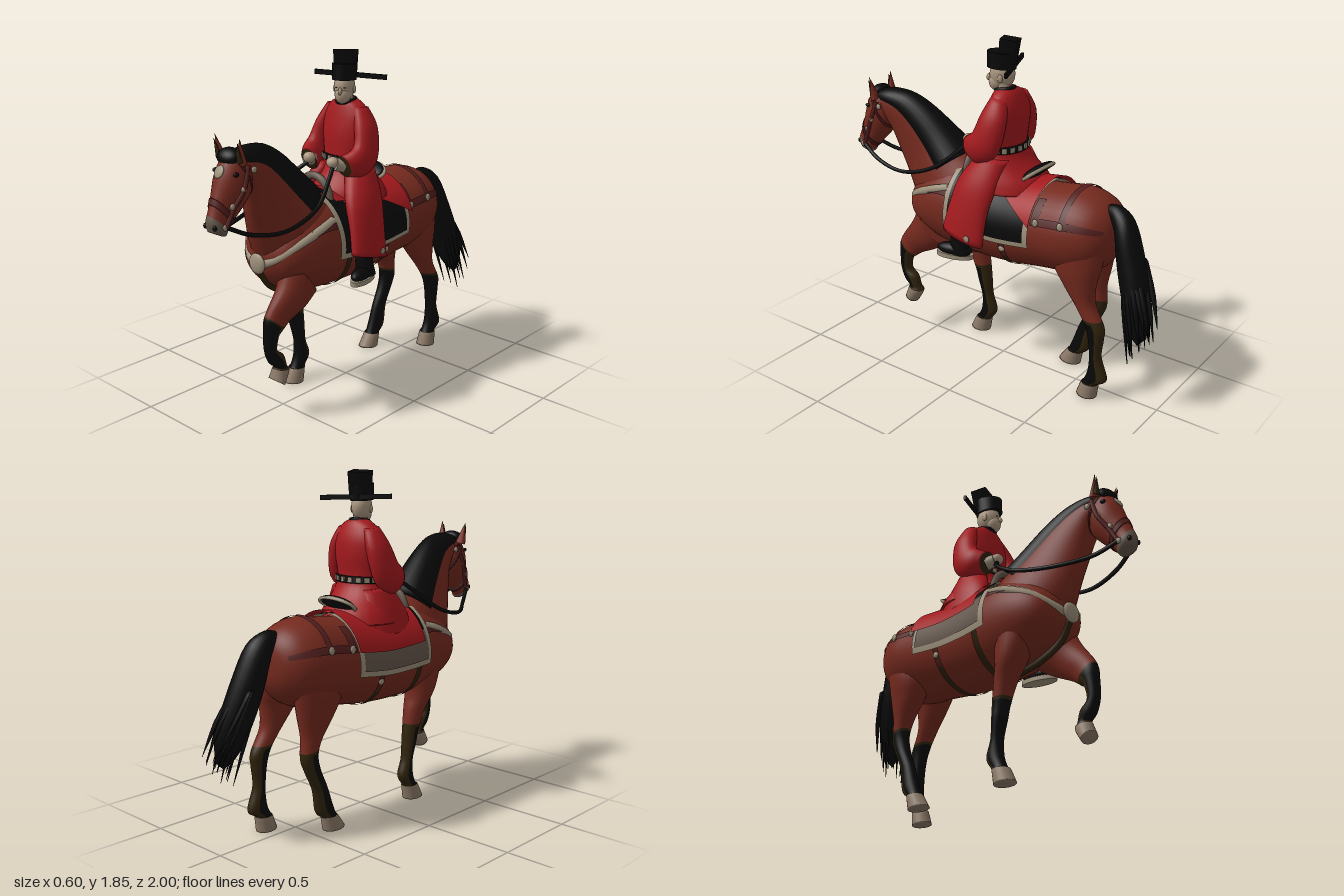
import * as THREE from 'three';

const mat = (name, color, side = THREE.FrontSide) => Object.assign(new THREE.MeshStandardMaterial({ color, side }), { name });
const M = {
  coat: mat('horse coat brown', 0x752a1e), red: mat('robe red', 0xa3191d, THREE.DoubleSide),
  black: mat('black', 0x080808, THREE.DoubleSide), olive: mat('dark olive', 0x30230c, THREE.DoubleSide),
  beige: mat('trim beige', 0x9c8f7a, THREE.DoubleSide), strap: mat('leather maroon', 0x531f1e, THREE.DoubleSide),
  hoof: mat('hoof tan', 0x8a7866), skin: mat('skin', 0xab9780), taupe: mat('taupe', 0x63564a, THREE.DoubleSide),
};
const V = (x, y, z) => new THREE.Vector3(x, y, z);
const rad = THREE.MathUtils.degToRad;

// Smooth interpolation between rows; a row is [x, yTop, zTop, yBottom, zBottom, halfWidth]
function sample(rows, t) {
  const n = rows.length - 1, i = Math.min(Math.floor(t), n - 1), f = t - i;
  const [a, b, c, d] = [rows[Math.max(i - 1, 0)], rows[i], rows[i + 1], rows[Math.min(i + 2, n)]];
  return b.map((v, k) => v + 0.5 * f * (c[k] - a[k] + f * (2 * a[k] - 5 * v + 4 * c[k] - d[k] + f * (3 * (v - c[k]) + d[k] - a[k]))));
}
const ringPoint = ([x, y1, z1, y2, z2, w], a, off = 0) => {
  const k = Math.hypot(y1 - y2, z1 - z2) / 2 || 1e-3, s = Math.sin(a) * (k + off) / k;
  return V(x + Math.cos(a) * (w + off), (y1 + y2) / 2 + s * (y1 - y2) / 2, (z1 + z2) / 2 + s * (z1 - z2) / 2);
};

// Closed skin over elliptical rows; pick(row, sine) chooses among several materials
function loft(name, rows, mats, { pick = () => 0, sides = 24, steps = 4 } = {}) {
  const list = [].concat(mats), idx = list.map(() => []), pos = [], last = (rows.length - 1) * steps;
  for (let i = 0; i <= last; i++) {
    const r = sample(rows, i / steps);
    for (let j = 0; j < sides; j++) pos.push(...ringPoint(r, j / sides * Math.PI * 2).toArray());
  }
  for (const r of [rows[0], rows.at(-1)]) pos.push(r[0], (r[1] + r[3]) / 2, (r[2] + r[4]) / 2);
  const c0 = (last + 1) * sides;
  for (let j = 0; j < sides; j++) {
    const k = (j + 1) % sides;
    for (let i = 0; i < last; i++) {
      const a = i * sides + j, b = i * sides + k;
      idx[pick((i + 0.5) / steps, Math.sin((j + 0.5) / sides * Math.PI * 2))].push(a, b, a + sides, b, b + sides, a + sides);
    }
    idx[pick(0, 0)].push(c0, k, j);
    idx[pick(rows.length - 1, 0)].push(c0 + 1, last * sides + j, last * sides + k);
  }
  // Turn the faces outward whichever way the rows run
  const p = i => V(pos[3 * i], pos[3 * i + 1], pos[3 * i + 2]);
  let vol = 0;
  for (const l of idx) for (let i = 0; i < l.length; i += 3) vol += p(l[i]).dot(p(l[i + 1]).cross(p(l[i + 2])));
  if (vol < 0) for (const l of idx) l.reverse();
  const g = new THREE.BufferGeometry();
  g.setAttribute('position', new THREE.Float32BufferAttribute(pos, 3));
  g.setIndex(idx.flat());
  let start = 0;
  idx.forEach((l, m) => { g.addGroup(start, l.length, m); start += l.length; });
  g.computeVertexNormals();
  const mesh = new THREE.Mesh(g, list.length > 1 ? list : list[0]);
  mesh.name = name;
  return mesh;
}
function part(name, geo, m, p, scale = [1, 1, 1], rot = [0, 0, 0]) {
  const mesh = new THREE.Mesh(geo, m);
  mesh.name = name; mesh.position.set(...p); mesh.scale.set(...scale); mesh.rotation.set(...rot);
  return mesh;
}
const ball = (name, m, p, scale, rot) => part(name, new THREE.SphereGeometry(1, 20, 14), m, p, scale, rot);
const tube = (name, m, pts, r) => part(name, new THREE.TubeGeometry(new THREE.CatmullRomCurve3(pts), 48, r, 8), m, [0, 0, 0]);
const band = (name, rows, t0, t1, off, m) => loft(name, [t0, t1].map(t => {
  const r = sample(rows, t), u = ringPoint(r, Math.PI / 2, off), d = ringPoint(r, -Math.PI / 2, off);
  return [r[0], u.y, u.z, d.y, d.z, r[5] + off];
}), m);

// Horse barrel: [z, top, bottom, halfWidth]
const CX = -0.04;
const body = [[-0.705, 0.96, 0.86, 0.04], [-0.685, 1.03, 0.79, 0.12], [-0.62, 1.095, 0.71, 0.195], [-0.5, 1.13, 0.66, 0.235],
  [-0.35, 1.115, 0.645, 0.236], [-0.1, 1.09, 0.61, 0.232], [0.1, 1.1, 0.6, 0.232], [0.3, 1.12, 0.61, 0.235],
  [0.45, 1.07, 0.65, 0.215], [0.55, 1.0, 0.7, 0.17], [0.6, 0.93, 0.76, 0.1], [0.615, 0.88, 0.8, 0.04]].map(([z, t, b, w]) => [CX, t, z, b, z, w]);
function onBody(z, deg, off) {
  let lo = 0, hi = body.length - 1;
  for (let i = 0; i < 24; i++) { const m = (lo + hi) / 2; sample(body, m)[2] < z ? lo = m : hi = m; }
  return ringPoint(sample(body, lo), rad(deg), off);
}
// Thin sheet on the barrel from z1 to z0, angles a0 to a1; the a0 edge may slant to a0End at z1
function patch(name, m, z0, z1, a0, a1, off, a0End = a0) {
  const g = new THREE.PlaneGeometry(1, 1, 40, 12), p = g.attributes.position;
  for (let i = 0; i < p.count; i++) {
    const v = p.getY(i) + 0.5, from = a0 + (a0End - a0) * v;
    const q = onBody(z0 + (z1 - z0) * v, from + (a1 - from) * (p.getX(i) + 0.5), off);
    p.setXYZ(i, q.x, q.y, q.z);
  }
  g.computeVertexNormals();
  return part(name, g, m, [0, 0, 0]);
}

const neck = [[-0.04, 1.08, 0.12, 0.78, 0.57, 0.19], [-0.035, 1.17, 0.25, 0.9, 0.63, 0.16], [-0.02, 1.275, 0.37, 1.0, 0.67, 0.125],
  [0, 1.38, 0.5, 1.1, 0.705, 0.1], [0.02, 1.445, 0.62, 1.2, 0.735, 0.083], [0.035, 1.46, 0.74, 1.28, 0.765, 0.075], [0.04, 1.445, 0.82, 1.33, 0.8, 0.06]];
const head = [[0.04, 1.46, 0.79, 1.33, 0.74, 0.055], [0.04, 1.455, 0.855, 1.25, 0.745, 0.083], [0.04, 1.38, 0.91, 1.19, 0.79, 0.085],
  [0.042, 1.29, 0.945, 1.14, 0.84, 0.066], [0.045, 1.21, 0.975, 1.1, 0.88, 0.052], [0.048, 1.15, 0.997, 1.065, 0.905, 0.052], [0.05, 1.1, 0.99, 1.07, 0.93, 0.035]];

// Legs: [x, yFront, zFront, yBack, zBack, halfWidth]; the last three rows make the hoof
const legs = {
  leftForeleg: [2.6, [[0.06, 0.84, 0.53, 0.62, 0.34, 0.1], [0.08, 0.72, 0.58, 0.57, 0.43, 0.075], [0.08, 0.62, 0.655, 0.52, 0.53, 0.05],
    [0.08, 0.565, 0.685, 0.48, 0.585, 0.045], [0.08, 0.5, 0.69, 0.46, 0.61, 0.04], [0.08, 0.4, 0.69, 0.39, 0.62, 0.034],
    [0.08, 0.325, 0.665, 0.35, 0.575, 0.038], [0.08, 0.295, 0.63, 0.285, 0.555, 0.036], [0.08, 0.275, 0.635, 0.255, 0.54, 0.043], [0.08, 0.23, 0.65, 0.182, 0.585, 0.052]]],
  rightForeleg: [2.65, [[-0.14, 0.85, 0.5, 0.8, 0.22, 0.1], [-0.15, 0.66, 0.43, 0.62, 0.24, 0.085], [-0.15, 0.52, 0.345, 0.52, 0.22, 0.06],
    [-0.15, 0.41, 0.3, 0.41, 0.205, 0.047], [-0.15, 0.34, 0.28, 0.34, 0.2, 0.044], [-0.15, 0.24, 0.255, 0.24, 0.19, 0.036],
    [-0.15, 0.15, 0.26, 0.15, 0.16, 0.04], [-0.15, 0.09, 0.285, 0.09, 0.195, 0.038], [-0.15, 0.08, 0.3, 0.075, 0.2, 0.045], [-0.15, 0.01, 0.335, 0, 0.215, 0.054]]],
  leftHindLeg: [3.6, [[0.06, 0.92, -0.36, 0.92, -0.68, 0.1], [0.07, 0.75, -0.38, 0.75, -0.665, 0.095], [0.08, 0.63, -0.46, 0.66, -0.645, 0.075],
    [0.085, 0.53, -0.54, 0.55, -0.645, 0.055], [0.09, 0.45, -0.59, 0.43, -0.71, 0.045], [0.09, 0.37, -0.62, 0.36, -0.71, 0.04],
    [0.09, 0.25, -0.635, 0.25, -0.7, 0.036], [0.09, 0.15, -0.625, 0.13, -0.74, 0.04], [0.09, 0.09, -0.6, 0.09, -0.69, 0.038],
    [0.09, 0.08, -0.59, 0.075, -0.69, 0.045], [0.09, 0.01, -0.565, 0, -0.68, 0.052]]],
  rightHindLeg: [3.6, [[-0.14, 0.92, -0.34, 0.92, -0.66, 0.1], [-0.15, 0.75, -0.32, 0.75, -0.62, 0.095], [-0.15, 0.63, -0.38, 0.64, -0.6, 0.075],
    [-0.15, 0.53, -0.455, 0.53, -0.58, 0.055], [-0.15, 0.45, -0.485, 0.42, -0.585, 0.045], [-0.15, 0.36, -0.47, 0.35, -0.56, 0.04],
    [-0.15, 0.25, -0.42, 0.24, -0.51, 0.036], [-0.15, 0.15, -0.385, 0.12, -0.49, 0.04], [-0.15, 0.09, -0.36, 0.08, -0.45, 0.038],
    [-0.15, 0.08, -0.35, 0.075, -0.445, 0.045], [-0.15, 0.01, -0.3, 0, -0.43, 0.052]]],
};

function makeHorse() {
  const g = new THREE.Group(); g.name = 'horse';
  g.add(loft('barrel', body, M.coat, { sides: 36 }), loft('neck', neck, M.coat, { sides: 32 }));
  g.add(loft('head', head, [M.coat, M.taupe], { pick: t => t > 4.5 ? 1 : 0 }));
  for (const [name, [sock, rows]] of Object.entries(legs)) {
    const top = rows.length - 2.2;
    // Brown above, black sock with olive upper edge, back and pastern, tan hoof
    const pick = (t, s) => t > top ? 3 : t < sock ? 0 : s < -0.35 || t > top - 0.5 || t < sock + 0.25 ? 2 : 1;
    g.add(loft(name, rows, [M.coat, M.black, M.olive, M.hoof], { pick, steps: 6 }));
  }
  // Mane follows the crest of the neck
  g.add(loft('mane', neck.map(([x, y1, z1, y2, z2, w]) => [x, y1 + 0.012, z1 - 0.005, y1 + (y2 - y1) * 0.54, z1 + (z2 - z1) * 0.54, w * 0.97]).slice(1), M.black));
  g.add(ball('forelock', M.black, [0.035, 1.435, 0.845], [0.068, 0.04, 0.05], [0.6, 0, 0]));
  g.add(ball('foreheadStar', M.beige, [0.04, 1.375, 0.912], [0.03, 0.032, 0.008], [-0.5, 0, 0]));
  for (const s of [-1, 1]) {
    g.add(part('ear', new THREE.ConeGeometry(0.032, 0.13, 12), M.coat, [0.03 + s * 0.078, 1.47, 0.835], [1, 1, 0.7], [0.2, 0, -s * 0.15]));
    g.add(part('innerEar', new THREE.ConeGeometry(0.024, 0.1, 10), M.olive, [0.03 + s * 0.077, 1.466, 0.848], [1, 1, 0.6], [0.2, 0, -s * 0.15]));
    g.add(ball('eye', M.black, [0.04 + s * 0.075, 1.365, 0.872], [0.01, 0.011, 0.015]));
    g.add(ball('nostril', M.black, [0.048 + s * 0.034, 1.125, 0.985], [0.01, 0.014, 0.01]));
  }
  // Tail: full core and loose strands
  g.add(loft('tail', [[-0.03, 1.07, -0.62, 0.99, -0.66, 0.03], [-0.025, 1.085, -0.7, 0.95, -0.7, 0.055], [-0.01, 1.03, -0.79, 0.84, -0.72, 0.078],
    [0.01, 0.88, -0.86, 0.7, -0.755, 0.085], [0.04, 0.7, -0.92, 0.54, -0.81, 0.08], [0.065, 0.56, -0.95, 0.45, -0.85, 0.055], [0.08, 0.45, -0.95, 0.4, -0.9, 0.015]], M.black));
  for (let i = 0; i < 18; i++) {
    const f = i / 17, x = 0.065 * Math.sin(i * 2.4), y = 0.33 + 0.16 * f + 0.03 * Math.sin(i * 5.1), z = -0.87 - 0.125 * f;
    g.add(loft('tailStrand', [[x, 0.82, -0.77 - 0.07 * f, 0.8, -0.8 - 0.07 * f, 0.015], [x * 1.1 + 0.045, 0.6 + 0.06 * f, -0.8 - 0.12 * f, 0.59 + 0.06 * f, -0.83 - 0.12 * f, 0.014],
      [x + 0.09, y, z, y - 0.005, z - 0.004, 0.002]], M.black, { sides: 6, steps: 3 }));
  }
  return g;
}

function makeTack() {
  const g = new THREE.Group(); g.name = 'tack';
  // Pale-edged pad, dark on the left and taupe on the right
  g.add(patch('saddlePad', M.beige, 0.26, -0.3, -12, 192, 0.013), patch('padCentre', M.black, 0.23, -0.27, -5, 150, 0.018));
  g.add(patch('padRightPanel', M.taupe, 0.23, -0.27, 150, 185, 0.018));
  for (const mir of [a => a, a => 180 - a]) {
    g.add(patch('rumpStrap', M.strap, -0.3, -0.68, mir(18), mir(28), 0.006), patch('shoulderStrap', M.strap, 0.26, 0.42, mir(24), mir(33), 0.007));
    g.add(patch('rumpCloth', M.strap, -0.3, -0.35, mir(28), mir(55), 0.006));
    for (const z of [-0.335, -0.485]) g.add(ball('rumpBuckle', M.beige, onBody(z, mir(22), 0.008).toArray(), [0.01, 0.022, 0.018]));
    g.add(patch('girthStrap', M.strap, -0.105, -0.14, mir(-12), mir(-35), 0.008));
    g.add(ball('girthBuckle', M.beige, onBody(-0.122, mir(-20), 0.008).toArray(), [0.01, 0.018, 0.02]));
  }
  g.add(patch('crupperStrap', M.strap, -0.47, -0.505, 20, 160, 0.006));
  for (const z of [0.18, -0.12]) g.add(patch('girth', M.olive, z + 0.02, z - 0.02, -180, 0, 0.006));
  // Breast collar with medallion
  const half = [[0.185, 1.01, 0.26], [0.195, 0.98, 0.37], [0.157, 0.91, 0.52], [0.085, 0.85, 0.59]];
  g.add(tube('breastCollar', M.beige, [...half.map(([x, y, z]) => V(CX + x, y, z)), V(CX, 0.825, 0.612), ...half.reverse().map(([x, y, z]) => V(CX - x, y, z))], 0.024));
  g.add(ball('medallion', M.beige, [CX + 0.01, 0.83, 0.63], [0.055, 0.055, 0.02]));
  g.add(tube('chestStrap', M.olive, [V(CX + 0.01, 0.8, 0.62), V(CX + 0.01, 0.7, 0.555), V(CX, 0.635, 0.44), V(CX, 0.603, 0.25)], 0.02));
  // Saddle ends
  g.add(ball('cantle', M.black, [-0.03, 1.165, -0.205], [0.115, 0.025, 0.068], [0.65, 0, 0]));
  g.add(part('cantleRim', new THREE.TorusGeometry(1, 0.1, 8, 32), M.beige, [-0.03, 1.158, -0.208], [0.118, 0.068, 0.1], [Math.PI / 2 + 0.65, 0, 0]));
  g.add(part('pommel', new THREE.TorusGeometry(0.11, 0.02, 8, 24, Math.PI), M.taupe, [CX, 1.085, 0.2], [1, 1.1, 1]));
  // Bridle
  g.add(band('noseband', head, 3.4, 3.8, 0.005, M.strap), band('browband', head, 1.0, 1.2, 0.004, M.strap));
  for (const s of [-1, 1]) {
    g.add(tube('cheekpiece', M.strap, [V(0.04 + s * 0.078, 1.4, 0.8), V(0.04 + s * 0.088, 1.29, 0.84), V(0.043 + s * 0.064, 1.2, 0.89), V(0.046 + s * 0.054, 1.12, 0.93)], 0.012));
    for (const [x, y, z] of [[0.088, 1.375, 0.775], [0.086, 1.29, 0.84], [0.066, 1.215, 0.895], [0.055, 1.12, 0.935]]) g.add(ball('bridleStud', M.beige, [0.043 + s * x, y, z], [0.01, 0.016, 0.016]));
  }
  g.add(tube('rightRein', M.black, [V(-0.01, 1.12, 0.93), V(-0.07, 1.06, 0.82), V(-0.17, 1.03, 0.65), V(-0.215, 1.08, 0.42), V(-0.17, 1.2, 0.24), V(-0.09, 1.28, 0.17)], 0.011));
  g.add(tube('leftRein', M.black, [V(0.1, 1.12, 0.93), V(0.13, 1.06, 0.8), V(0.155, 1.035, 0.6), V(0.15, 1.1, 0.38), V(0.1, 1.21, 0.24), V(0.07, 1.28, 0.17)], 0.011));
  return g;
}

function makeRider() {
  const g = new THREE.Group(); g.name = 'rider';
  const torso = [[-0.005, 1.59, 0.035, 1.6, -0.055, 0.045], [-0.01, 1.555, 0.045, 1.565, -0.085, 0.11], [-0.01, 1.49, 0.06, 1.49, -0.112, 0.155], [-0.01, 1.4, 0.075, 1.4, -0.118, 0.152],
    [-0.01, 1.28, 0.08, 1.28, -0.11, 0.138], [-0.015, 1.21, 0.1, 1.2, -0.15, 0.16], [-0.025, 1.12, 0.16, 1.12, -0.23, 0.2], [-0.03, 1.06, 0.18, 1.06, -0.26, 0.22]];
  g.add(loft('robeBody', torso, M.red));
  // Skirt spread over saddle and rump
  g.add(patch('robeSkirt', M.red, 0.2, -0.06, 55, 163, 0.032), patch('robeBackSkirt', M.red, -0.06, -0.31, 55, 163, 0.032, 15));
  g.add(loft('robeLeftPanel', [[0.09, 1.25, 0.08, 1.23, -0.1, 0.07], [0.165, 1.1, 0.17, 1.1, -0.08, 0.066], [0.22, 0.95, 0.2, 0.95, -0.05, 0.05], [0.25, 0.83, 0.22, 0.77, -0.04, 0.046]], M.red));
  g.add(loft('robeRightPanel', [[-0.11, 1.25, 0.08, 1.23, -0.1, 0.07], [-0.165, 1.12, 0.16, 1.12, -0.13, 0.065], [-0.22, 1.0, 0.17, 0.98, -0.16, 0.04]], M.red));
  g.add(ball('hemPatch', M.beige, [0.293, 0.82, 0.03], [0.005, 0.018, 0.018]));
  // Belt with plaques
  g.add(band('belt', torso, 3.83, 4.2, 0.008, M.black));
  for (let i = 0; i < 18; i++) {
    const a = i / 18 * Math.PI * 2, p = ringPoint(sample(torso, 4), a, 0.01);
    g.add(part('beltPlaque', new THREE.BoxGeometry(0.026, 0.026, 0.009), M.beige, p.toArray(), [1, 1, 1], [0, Math.atan2(Math.cos(a), Math.sin(a)), 0]));
  }
  for (const s of [-1, 1]) {
    const X = x => -0.015 + s * x;
    g.add(loft('sleeve', [[X(0.09), 1.56, 0.015, 1.55, -0.075, 0.04], [X(0.135), 1.47, 0.05, 1.44, -0.1, 0.052], [X(0.162), 1.38, 0.08, 1.27, -0.065, 0.055],
      [X(0.158), 1.345, 0.12, 1.2, 0.04, 0.056], [X(0.125), 1.325, 0.16, 1.21, 0.12, 0.054]], [M.red, M.olive], { pick: t => t >= 4 ? 1 : 0 }));
    g.add(part('cuff', new THREE.CylinderGeometry(0.034, 0.036, 0.05, 16), M.beige, [X(0.108), 1.275, 0.15], [1, 1, 1], [1.3, 0, s * 0.4]));
    g.add(ball('hand', M.skin, [X(0.085), 1.29, 0.178], [0.035, 0.03, 0.032]));
  }
  // Boot with thick pale sole
  g.add(loft('bootShaft', [[0.235, 0.9, 0.16, 0.9, 0.06, 0.035], [0.24, 0.78, 0.17, 0.78, 0.07, 0.044], [0.245, 0.7, 0.17, 0.7, 0.05, 0.045]], M.black));
  g.add(ball('bootFoot', M.black, [0.25, 0.718, 0.145], [0.044, 0.036, 0.102], [0, 0.25, 0]));
  g.add(part('bootSole', new THREE.CylinderGeometry(1, 1, 0.025, 24), M.beige, [0.25, 0.685, 0.143], [0.046, 1, 0.108], [0, 0.25, 0]));
  // Head and winged hat, turned a little to the left
  g.add(part('neck', new THREE.CylinderGeometry(0.038, 0.042, 0.08, 16), M.skin, [0, 1.59, 0]));
  g.add(part('collar', new THREE.TorusGeometry(0.047, 0.013, 8, 24), M.black, [-0.004, 1.583, -0.008], [1, 1, 1], [Math.PI / 2 + 0.15, 0, 0]));
  const h = new THREE.Group(); h.name = 'riderHead';
  h.position.set(0, 1.64, 0.012); h.rotation.y = 0.4;
  h.add(ball('skull', M.skin, [0, 0.02, -0.005], [0.054, 0.078, 0.068]), ball('jaw', M.skin, [0, -0.022, 0.022], [0.043, 0.05, 0.046]));
  h.add(ball('nose', M.skin, [0, 0.0, 0.066], [0.01, 0.02, 0.014], [-0.3, 0, 0]));
  for (const s of [-1, 1]) {
    h.add(ball('riderEar', M.skin, [s * 0.054, 0.005, -0.005], [0.008, 0.022, 0.014]));
    h.add(ball('riderEye', M.black, [s * 0.02, 0.018, 0.057], [0.008, 0.003, 0.003]));
  }
  h.add(part('hatBand', new THREE.CylinderGeometry(0.064, 0.062, 0.085, 28), M.black, [0, 0.095, -0.003], [1, 1, 1.25], [-0.06, 0, 0]));
  h.add(part('hatCrown', new THREE.CylinderGeometry(0.077, 0.068, 0.13, 4, 1, false, Math.PI / 4), M.black, [-0.005, 0.14, -0.038], [1, 1, 0.85], [-0.12, 0, 0.04]));
  h.add(part('hatWings', new THREE.BoxGeometry(0.4, 0.026, 0.014), M.black, [0.01, 0.07, -0.07], [1, 1, 1], [0, 0, -0.03]));
  g.add(h);
  return g;
}

export function createModel() {
  const model = new THREE.Group();
  model.name = 'riderOnHorse';
  model.add(makeHorse(), makeTack(), makeRider());
  return model;
}
